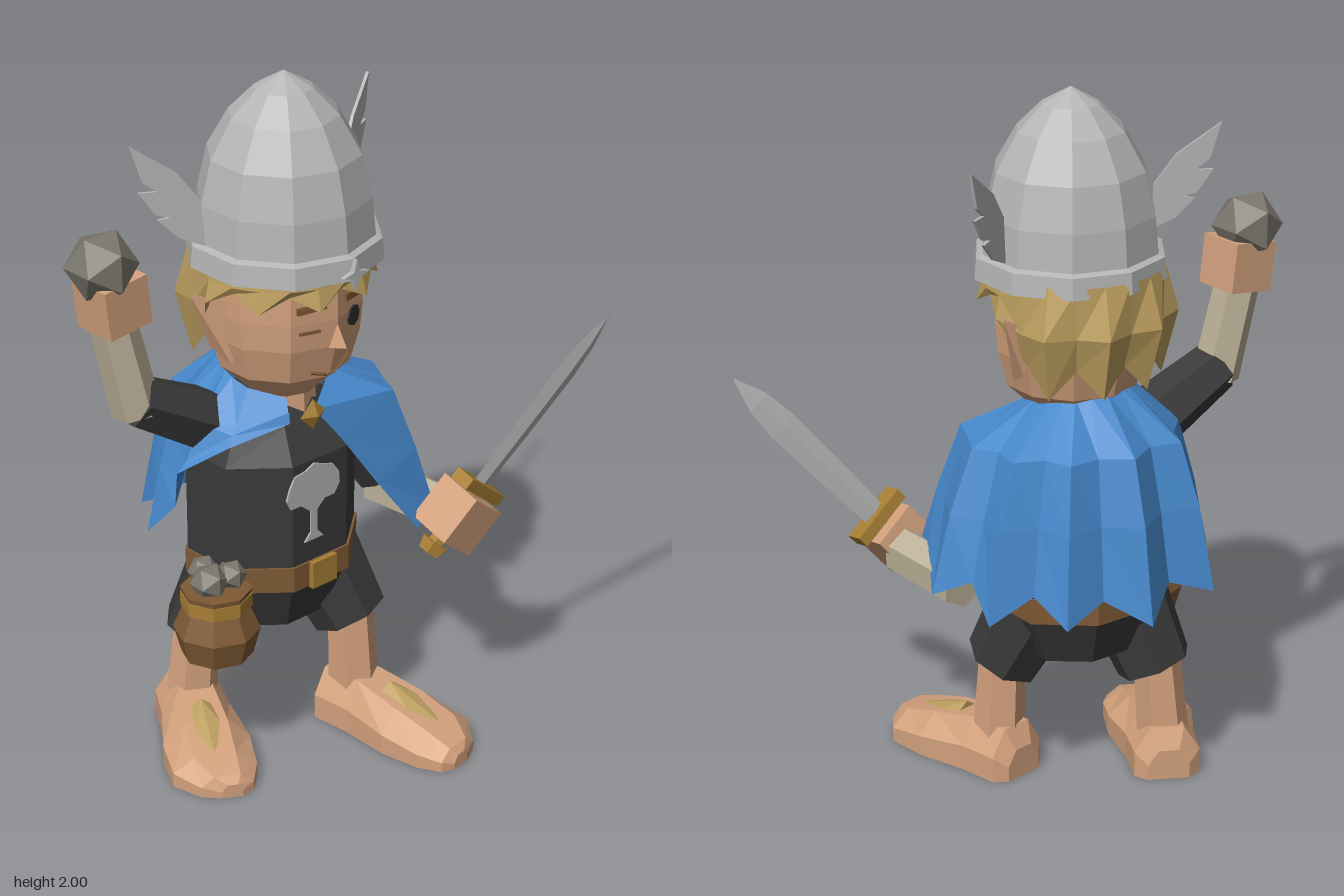
import * as THREE from 'three';
import { ConvexGeometry } from 'three/addons/geometries/ConvexGeometry.js';

const V = (a) => new THREE.Vector3(...a);
const mat = (name, color, side = THREE.FrontSide) =>
  new THREE.MeshStandardMaterial({ name, color, side, flatShading: true });

// Skin a list of point rows; closed rows wrap around, caps fill both ends
function loft(rows, closed = true) {
  const pos = [], n = rows[0].length;
  const tri = (...p) => p.forEach((q) => pos.push(...q));
  for (let r = 0; r < rows.length - 1; r++) {
    for (let i = 0; i < (closed ? n : n - 1); i++) {
      const j = (i + 1) % n, a = rows[r], b = rows[r + 1];
      tri(a[i], a[j], b[j]);
      tri(a[i], b[j], b[i]);
    }
  }
  if (closed) {
    const first = rows[0], last = rows[rows.length - 1];
    for (let i = 1; i < n - 1; i++) {
      tri(first[0], first[i + 1], first[i]);
      tri(last[0], last[i], last[i + 1]);
    }
  }
  const g = new THREE.BufferGeometry();
  g.setAttribute('position', new THREE.Float32BufferAttribute(pos, 3));
  g.computeVertexNormals();
  return g;
}

// Oval ring with eight flats, one of them facing the front
const oval = (y, rx, rz, cx = -0.1, cz = -0.08) => Array.from({ length: 8 }, (_, i) => {
  const a = (i + 0.5) * Math.PI / 4, k = 1 / Math.cos(Math.PI / 8);
  return [cx + Math.cos(a) * rx * k, y, cz - Math.sin(a) * rz * k];
});

const lathe = (pts, sides) => new THREE.LatheGeometry(pts.map((p) => new THREE.Vector2(...p)), sides);
const plate = (pts, depth) => new THREE.ExtrudeGeometry(
  new THREE.Shape(pts.map((p) => new THREE.Vector2(...p))), { depth, bevelEnabled: false });

export function createModel() {
  const model = new THREE.Group();
  const M = {
    steel: mat('steel', 0xb4b6b6, THREE.DoubleSide),
    skin: mat('skin', 0xd3a17d),
    blue: mat('capeBlue', 0x4688cb, THREE.DoubleSide),
    black: mat('tunicBlack', 0x3a3a3a),
    hair: mat('hairBlond', 0xbd9f5f, THREE.DoubleSide),
    gold: mat('gold', 0xa87f35),
    brown: mat('leather', 0x7f5a35),
    sleeve: mat('sleeveBeige', 0xbbb097),
    stone: mat('stone', 0x7b776d),
    dark: mat('eyeDark', 0x30302f),
  };
  const add = (name, geo, m, p = [0, 0, 0], parent = model) => {
    const mesh = new THREE.Mesh(geo, m);
    mesh.name = name;
    mesh.position.set(...p);
    parent.add(mesh);
    return mesh;
  };
  const limb = (name, a, b, ra, rb, m, sides = 6) => {
    const d = V(b).sub(V(a));
    const mesh = add(name, new THREE.CylinderGeometry(rb, ra, d.length(), sides), m,
      V(a).add(V(b)).multiplyScalar(0.5).toArray());
    mesh.quaternion.setFromUnitVectors(V([0, 1, 0]), d.normalize());
    return mesh;
  };

  // Tunic, belt, buckle and neck
  add('tunic', loft([oval(0.4, 0.17, 0.14), oval(0.56, 0.24, 0.2), oval(0.93, 0.24, 0.2),
    oval(1.02, 0.18, 0.14), oval(1.1, 0.08, 0.08)]), M.black);
  add('belt', loft([oval(0.545, 0.245, 0.207), oval(0.62, 0.247, 0.207)]), M.brown);
  add('buckle', new THREE.BoxGeometry(0.09, 0.08, 0.02), M.gold, [-0.1, 0.58, 0.132]);
  add('neck', new THREE.CylinderGeometry(0.09, 0.1, 0.14, 8), M.skin, [-0.09, 1.08, -0.05]);

  // Tree painted on the chest
  const tree = [[-0.035, 0], [-0.012, 0.025], [-0.012, 0.09], [-0.05, 0.12], [-0.085, 0.12], [-0.1, 0.15],
    [-0.09, 0.18], [-0.07, 0.215], [-0.03, 0.22], [0, 0.235], [0.035, 0.222], [0.07, 0.21], [0.092, 0.18],
    [0.095, 0.145], [0.075, 0.115], [0.04, 0.115], [0.012, 0.09], [0.012, 0.025], [0.035, 0]];
  add('chestTree', plate(tree, 0.006), M.steel, [-0.125, 0.685, 0.119]);

  // Legs and bare feet
  const footRows = [[-0.1, 0.06, 0.09, 0], [-0.07, 0.095, 0.15, 0], [0.05, 0.1, 0.15, 0], [0.2, 0.125, 0.12, 0],
    [0.32, 0.12, 0.085, 0], [0.39, 0.075, 0.06, -0.02], [0.41, 0.03, 0.04, -0.03]];
  for (const [side, s, hip, knee, ankle, turn] of [
    ['left', 1, [0.02, 0.55, -0.04], [0.08, 0.34, 0.05], [0.09, 0, 0.06], 0.15],
    ['right', -1, [-0.21, 0.55, -0.12], [-0.27, 0.32, -0.2], [-0.29, 0, -0.22], -0.5]]) {
    limb(side + 'ShortsLeg', hip, knee, 0.13, 0.11, M.black, 7);
    limb(side + 'Shin', [ankle[0], 0.1, ankle[2]], [knee[0], 0.42, knee[2]], 0.075, 0.065, M.skin);
    const foot = new THREE.Group();
    foot.name = side + 'Foot';
    foot.position.set(...ankle);
    foot.rotation.y = turn;
    model.add(foot);
    add('footBody', loft(footRows.map(([z, w, h, o]) => [[w, 0], [w, 0.5 * h], [0.5 * w, h], [-0.5 * w, h],
      [-w, 0.5 * h], [-w, 0]].map(([x, y]) => [x + o * s, y, z]))), M.skin, [0, 0, 0], foot);
    add('footHair', new ConvexGeometry([[-0.05, 0.12, 0.13], [0.05, 0.12, 0.13], [0, 0.155, 0.13], [0.05, 0.11, 0.22],
      [-0.04, 0.11, 0.23], [0, 0.09, 0.31]].map(V)), M.hair, [0, 0, 0], foot);
  }

  // Cape: hem points run from the left front round the back to the right front
  const hem = [[0.17, 0.65, 0.23], [0.26, 0.69, 0.2], [0.3, 0.73, 0.1], [0.38, 0.65, -0.03], [0.31, 0.7, -0.12],
    [0.34, 0.62, -0.24], [0.22, 0.69, -0.28], [0.19, 0.62, -0.39], [0.06, 0.67, -0.38], [-0.04, 0.6, -0.47],
    [-0.16, 0.67, -0.39], [-0.28, 0.63, -0.44], [-0.32, 0.7, -0.33], [-0.42, 0.67, -0.24], [-0.4, 0.78, -0.14],
    [-0.44, 0.92, -0.08], [-0.34, 1.0, 0.02], [-0.2, 1.06, 0.11]];
  const capeRows = [[], [], [], []];
  hem.forEach((h, i) => {
    const a = Math.atan2(h[0] + 0.1, h[2] + 0.06);
    const front = i === 0, low = h[1] > 0.8;
    const c = front ? [-0.12, 1.08, 0.12] : [-0.1 + 0.15 * Math.sin(a), 1.15 - 0.04 * Math.cos(a), -0.06 + 0.15 * Math.cos(a)];
    const at = (t, y) => [c[0] + (h[0] - c[0]) * t, y, c[2] + (h[2] - c[2]) * t];
    capeRows[0].push(c);
    capeRows[1].push(front ? at(0.25, 0.98) : at(0.6, Math.max(1.05, h[1] + 0.02)));
    capeRows[2].push(front ? at(0.6, 0.82) : at(0.82, low ? h[1] + 0.03 : 0.87));
    capeRows[3].push(h);
  });
  add('cape', loft(capeRows, false), M.blue);
  add('capeClasp', new THREE.OctahedronGeometry(0.045), M.gold, [-0.135, 1.075, 0.13]).scale.z = 0.5;

  // Raised right arm with a stone
  limb('rightUpperArm', [-0.24, 0.99, -0.11], [-0.53, 1.15, -0.14], 0.1, 0.075, M.black);
  limb('rightForearm', [-0.525, 1.12, -0.14], [-0.585, 1.41, -0.16], 0.068, 0.064, M.sleeve);
  add('rightHand', new THREE.BoxGeometry(0.14, 0.14, 0.14), M.skin, [-0.578, 1.45, -0.16]).rotation.z = 0.12;
  add('heldStone', new THREE.IcosahedronGeometry(0.1), M.stone, [-0.605, 1.555, -0.165]);

  // Left arm
  limb('leftUpperArm', [0.12, 0.96, -0.08], [0.27, 0.7, -0.03], 0.09, 0.075, M.black);
  limb('leftForearm', [0.28, 0.66, -0.04], [0.29, 0.665, 0.24], 0.072, 0.068, M.sleeve);

  // Left hand gripping the sword, built along its own y axis
  const sword = new THREE.Group();
  sword.name = 'swordAndHand';
  sword.position.set(0.27, 0.68, 0.285);
  sword.quaternion.setFromUnitVectors(V([0, 1, 0]), V([0.43, 0.53, 0.15]).normalize());
  model.add(sword);
  add('leftHand', new THREE.BoxGeometry(0.14, 0.15, 0.14), M.skin, [0, 0, 0], sword);
  add('grip', new THREE.CylinderGeometry(0.025, 0.025, 0.24, 6), M.gold, [0, -0.01, 0], sword);
  add('pommel', new THREE.CylinderGeometry(0.045, 0.035, 0.035, 6), M.gold, [0, -0.115, 0], sword);
  add('guard', new THREE.BoxGeometry(0.18, 0.035, 0.065), M.gold, [0, 0.098, 0], sword);
  add('blade', loft([[0.1, 0.035], [0.3, 0.042], [0.5, 0.045], [0.6, 0.035], [0.7, 0.002]].map(([y, w]) =>
    [[w, y, 0], [0, y, -w * 0.3], [-w, y, 0], [0, y, w * 0.3]])), M.steel, [0, 0, 0], sword);

  // Belt pouch full of stones
  add('pouch', lathe([[0, 0.375], [0.1, 0.38], [0.122, 0.46], [0.09, 0.535], [0.1, 0.585], [0, 0.585]], 8),
    M.brown, [-0.385, 0, 0.01]);
  add('pouchTie', new THREE.CylinderGeometry(0.1, 0.1, 0.04, 8), M.gold, [-0.385, 0.55, 0.01]);
  for (const [x, z, r] of [[-0.41, 0.01, 0.055], [-0.34, 0.02, 0.045], [-0.38, -0.05, 0.045]])
    add('pouchStone', new THREE.IcosahedronGeometry(r), M.stone, [x, 0.61, z]);

  // Head, centred on its own group
  const head = new THREE.Group();
  head.name = 'head';
  head.position.x = -0.09;
  model.add(head);
  add('face', lathe([[0, 1.09], [0.1, 1.1], [0.185, 1.18], [0.213, 1.28], [0.22, 1.36], [0.22, 1.52]], 10),
    M.skin, [0, 0, -0.04], head);
  add('nose', new ConvexGeometry([[0, 1.36, 0.17], [-0.035, 1.27, 0.13], [0.035, 1.27, 0.13], [0, 1.285, 0.215]].map(V)),
    M.skin, [0, 0, 0], head);
  const mouth = new THREE.CatmullRomCurve3([[-0.06, 1.205, 0.138], [0, 1.192, 0.154], [0.075, 1.225, 0.138]].map(V));
  add('mouth', new THREE.TubeGeometry(mouth, 6, 0.005, 4), M.brown, [0, 0, 0], head);
  const eye = add('openEye', new THREE.CylinderGeometry(0.03, 0.03, 0.008, 8).rotateX(Math.PI / 2), M.dark,
    [0.078, 1.34, 0.155], head);
  eye.rotation.y = 0.314;
  const wink = add('closedEye', new THREE.BoxGeometry(0.06, 0.008, 0.008), M.brown, [-0.078, 1.335, 0.155], head);
  wink.rotation.y = -0.314;
  for (const s of [-1, 1]) {
    const brow = add('eyebrow', new THREE.BoxGeometry(0.085, 0.02, 0.009), M.brown, [s * 0.075, 1.405, 0.159], head);
    brow.rotation.set(0, s * 0.314, -s * 0.08);
    add('ear', new ConvexGeometry([[0.19, 1.4, 0], [0.19, 1.21, -0.03], [0.275, 1.42, -0.1], [0.18, 1.38, -0.14],
      [0.21, 1.25, -0.1]].map(([x, y, z]) => V([s * x, y, z]))), M.skin, [0, 0, 0], head);
  }

  // Jagged hair: short fringe in front, long locks at the back
  const hairRow = (f) => Array.from({ length: 21 }, (_, i) => {
    const a = i * Math.PI / 10, [r, y] = f(i % 2, Math.cos(a) < -0.25);
    return [r * Math.sin(a), y, -0.05 + r * Math.cos(a)];
  });
  add('hair', loft([
    hairRow((odd, back) => (back ? [0.18, 1.32] : [0.21, 1.46])),
    hairRow((odd, back) => (back ? [odd ? 0.24 : 0.22, odd ? 1.2 : 1.28] : [odd ? 0.265 : 0.24, odd ? 1.41 : 1.45])),
    hairRow((odd, back) => (back ? [odd ? 0.285 : 0.25, 1.38] : [0.252, 1.47])),
    hairRow(() => [0.245, 1.52])], false), M.hair, [0, 0, 0], head);

  // Helmet with rim, star and wings
  const helmet = new THREE.Group();
  helmet.name = 'helmet';
  head.add(helmet);
  add('dome', lathe([[0.25, 1.53], [0.238, 1.66], [0.21, 1.78], [0.15, 1.885], [0.08, 1.955], [0, 2]], 10),
    M.steel, [0, 0, -0.03], helmet);
  add('rim', lathe([[0.24, 1.495], [0.272, 1.49], [0.266, 1.55], [0.24, 1.56]], 10), M.steel, [0, 0, -0.03], helmet);
  const star = Array.from({ length: 8 }, (_, i) => {
    const r = i % 2 ? 0.014 : 0.045, a = i * Math.PI / 4;
    return [r * Math.cos(a), r * Math.sin(a)];
  });
  add('rimStar', plate(star, 0.015), M.steel, [0, 1.51, 0.238], helmet);
  const feather = [[0, 0], [0.01, 0.13], [0.07, 0.21], [0.195, 0.295], [0.165, 0.195], [0.125, 0.165],
    [0.175, 0.165], [0.13, 0.1], [0.09, 0.09], [0.125, 0.085], [0.07, 0.03]];
  for (const s of [-1, 1]) {
    const side = new THREE.Group();
    side.name = s > 0 ? 'leftWing' : 'rightWing';
    side.scale.x = s;
    helmet.add(side);
    add('wing', plate(feather, 0.009), M.steel, [0.245, 1.565, -0.07], side).rotation.y = 0.48;
  }
  return model;
}
